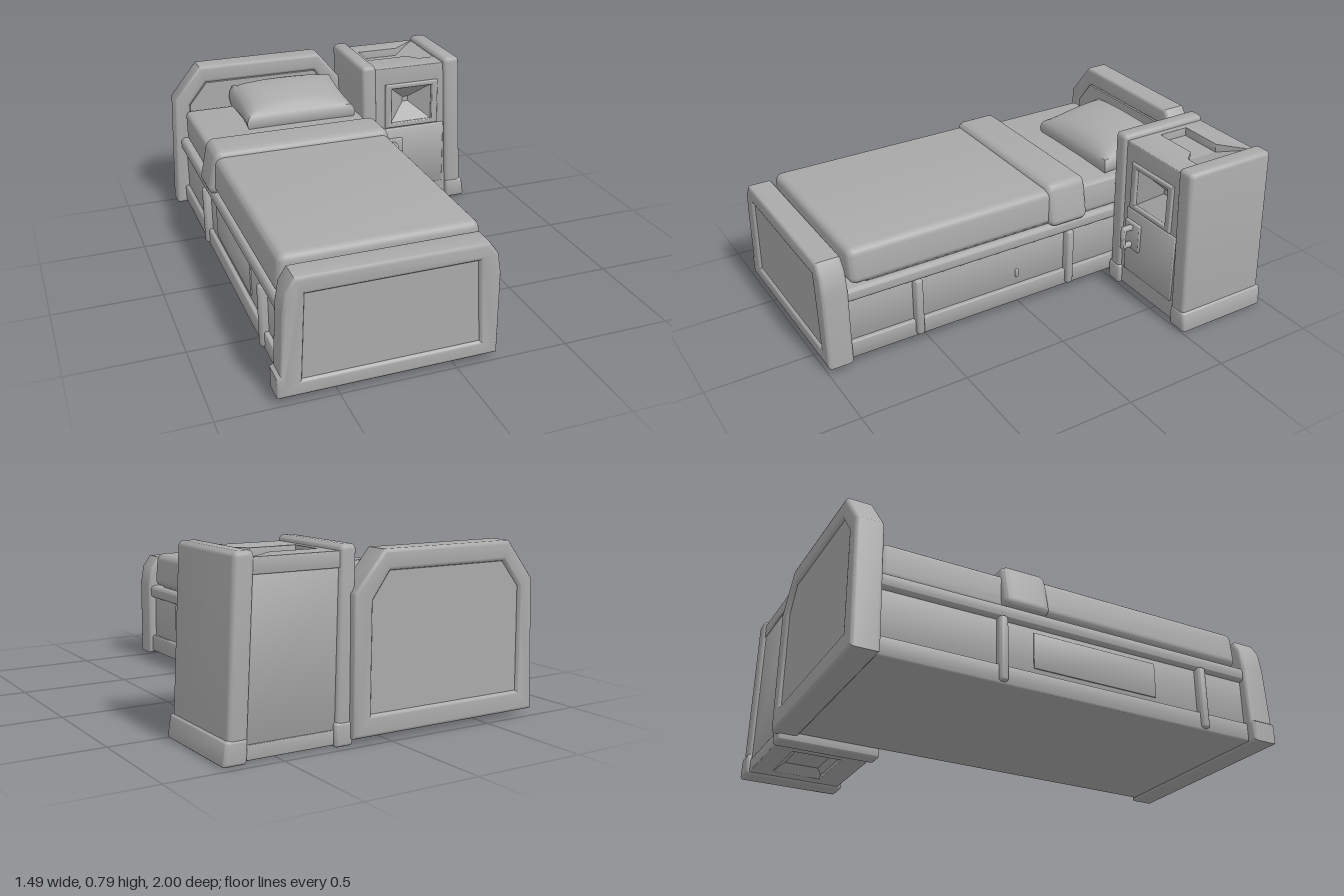
import * as THREE from 'three';
import { toCreasedNormals } from 'three/addons/utils/BufferGeometryUtils.js';
import { RoundedBoxGeometry } from 'three/addons/geometries/RoundedBoxGeometry.js';

const grey = new THREE.MeshStandardMaterial({ color: 0xaaaaaa });
grey.name = 'plain grey';

function add(parent, name, geometry) {
  const mesh = new THREE.Mesh(geometry, grey);
  mesh.name = name;
  parent.add(mesh);
  return mesh;
}

// Rounded block between limits; topX gives a different x range at its top
function soft(parent, name, [x0, x1], [y0, y1], [z0, z1], r, topX = [x0, x1]) {
  const g = new RoundedBoxGeometry(x1 - x0, y1 - y0, z1 - z0, 3, r);
  g.translate((x0 + x1) / 2, (y0 + y1) / 2, (z0 + z1) / 2);
  const p = g.attributes.position;
  for (let i = 0; i < p.count; i++) {
    const t = (p.getY(i) - y0) / (y1 - y0);
    const s = (p.getX(i) - x0) / (x1 - x0);
    const a = x0 + (topX[0] - x0) * t, b = x1 + (topX[1] - x1) * t;
    p.setX(i, a + (b - a) * s);
  }
  return add(parent, name, toCreasedNormals(g, 0.7));
}

const vectors = (pts) => pts.map(([x, y]) => new THREE.Vector2(x, y));
const rect = (x0, x1, y0, y1) => [[x0, y0], [x1, y0], [x1, y1], [x0, y1]];

// Outline with an optional hole, extruded from z = 0 to depth
function slab(outline, hole, depth, bevel) {
  const shape = new THREE.Shape(vectors(outline));
  if (hole) shape.holes.push(new THREE.Path(vectors(hole)));
  const g = new THREE.ExtrudeGeometry(shape, {
    depth: depth - 2 * bevel, bevelEnabled: bevel > 0, bevelSize: bevel,
    bevelThickness: bevel, bevelOffset: -bevel, bevelSegments: 3,
  });
  g.translate(0, 0, bevel);
  return toCreasedNormals(g, 0.7);
}

// Sunken funnel facing +z: rim at z = 0, floor at z = -depth
function dish(rim, floor, depth) {
  const v = [], n = rim.length;
  const tri = (...c) => c.forEach((q) => v.push(...q));
  const top = rim.map(([x, y]) => [x, y, 0]), low = floor.map(([x, y]) => [x, y, -depth]);
  for (let i = 0; i < n; i++) {
    const j = (i + 1) % n;
    tri(top[i], top[j], low[j]);
    tri(top[i], low[j], low[i]);
    if (i > 0 && i < n - 1) tri(low[0], low[i], low[i + 1]);
  }
  const g = new THREE.BufferGeometry();
  g.setAttribute('position', new THREE.Float32BufferAttribute(v, 3));
  g.computeVertexNormals();
  return g;
}

// End board with a shallow sunken panel on its outer side
function endBoard(parent, name, outline, panel, z0, outward) {
  const board = new THREE.Group();
  board.name = name;
  add(board, name + 'Frame', slab(outline, panel, 0.12, 0.016)).position.z = z0;
  add(board, name + 'Panel', slab(panel, null, 0.107, 0)).position.z = outward > 0 ? z0 : z0 + 0.013;
  parent.add(board);
}

function makePillow(parent) {
  const g = new THREE.BoxGeometry(2, 2, 2, 16, 4, 12);
  const p = g.attributes.position;
  for (let i = 0; i < p.count; i++) {
    const u = p.getX(i), w = p.getY(i), v = p.getZ(i);
    const bulge = (1 - u * u) * (1 - v * v);
    const top = 0.61 + 0.025 * (1 - v) + 0.055 * Math.sqrt(bulge);
    const inset = 1 - 0.06 * w * w;
    const pinchX = 1 - 0.03 * (1 - v * v), pinchZ = 1 - 0.03 * (1 - u * u);
    p.setXYZ(i, -0.17 + 0.28 * u * inset * pinchX,
      0.535 + (top - 0.535) * (w + 1) / 2, -0.675 + 0.185 * v * inset * pinchZ);
  }
  add(parent, 'pillow', toCreasedNormals(g, 0.9));
}

function makeBed() {
  const bed = new THREE.Group();
  bed.name = 'bed';

  // Head and foot boards
  endBoard(bed, 'headboard',
    [[-0.75, 0.03], [0.18, 0.03], [0.185, 0.6], [0.05, 0.765], [-0.59, 0.765], [-0.725, 0.6]],
    [[-0.66, 0.12], [0.1, 0.12], [0.1, 0.57], [0.02, 0.68], [-0.56, 0.68], [-0.65, 0.57]], -1, -1);
  endBoard(bed, 'footboard',
    [[-0.75, 0.03], [0.18, 0.03], [0.18, 0.4], [0.165, 0.49], [0.125, 0.545], [-0.67, 0.545],
      [-0.705, 0.49], [-0.72, 0.4], [-0.735, 0.13], [-0.75, 0.12]],
    [[-0.65, 0.1], [0.1, 0.1], [0.08, 0.47], [-0.63, 0.47]], 0.88, 1);

  // Base with lower boards, recessed sides and upper rails
  const length = [-0.9, 0.9];
  soft(bed, 'baseBoard', [-0.705, 0.165], [0.04, 0.125], length, 0.008);
  soft(bed, 'sidePanels', [-0.685, 0.145], [0.1, 0.35], length, 0.005);
  soft(bed, 'rails', [-0.71, 0.17], [0.33, 0.395], length, 0.02);

  // Side posts
  for (const z of [0.55, -0.255]) soft(bed, 'leftPost', [0.135, 0.185], [0.05, 0.34], [z - 0.02, z + 0.02], 0.015);
  for (const z of [0.64, -0.35]) soft(bed, 'rightPost', [-0.722, -0.67], [0.05, 0.34], [z - 0.02, z + 0.02], 0.015);
  soft(bed, 'leftPull', [0.14, 0.155], [0.165, 0.205], [0.02, 0.035], 0.004);
  soft(bed, 'rightDrawer', [-0.692, -0.684], [0.15, 0.31], [-0.2, 0.4], 0.003);

  // Bedding
  soft(bed, 'mattress', [-0.68, 0.15], [0.39, 0.547], [-0.87, 0.8], 0.025);
  soft(bed, 'blanket', [-0.705, 0.165], [0.4, 0.57], [-0.3, 0.86], 0.035, [-0.69, 0.15]);
  soft(bed, 'blanketFold', [-0.735, 0.195], [0.39, 0.597], [-0.345, -0.135], 0.035, [-0.69, 0.15]);
  makePillow(bed);
  return bed;
}

function makeNightstand() {
  const stand = new THREE.Group();
  stand.name = 'nightstand';

  // Side slabs with flared feet
  const depth = [-0.965, -0.505];
  soft(stand, 'rightSide', [0.17, 0.245], [0.01, 0.79], depth, 0.022, [0.155, 0.232]);
  soft(stand, 'leftSide', [0.635, 0.725], [0.01, 0.79], depth, 0.022, [0.602, 0.69]);
  soft(stand, 'rightFoot', [0.165, 0.25], [0, 0.1], [-0.97, -0.5], 0.015);
  soft(stand, 'leftFoot', [0.64, 0.745], [0, 0.1], [-0.97, -0.5], 0.015, [0.635, 0.73]);

  // Cabinet core
  soft(stand, 'cabinet', [0.2, 0.66], [0.05, 0.72], [-0.95, -0.63], 0.008, [0.2, 0.64]);

  // Front with a funnel-shaped niche
  const niche = rect(0.32, 0.54, 0.47, 0.655);
  add(stand, 'cabinetFront', slab(
    [[0.22, 0.01], [0.66, 0.01], [0.62, 0.765], [0.22, 0.765]], niche, 0.115, 0.004)).position.z = -0.635;
  add(stand, 'nicheFrame', slab(rect(0.285, 0.575, 0.445, 0.68), niche, 0.022, 0.008)).position.z = -0.528;
  add(stand, 'niche', dish(niche, rect(0.415, 0.445, 0.55, 0.575), 0.08)).position.z = -0.522;

  // Top with a sunken tray
  const tray = [[0.26, 0.69], [0.47, 0.69], [0.6, 0.54], [0.6, 0.94], [0.47, 0.84], [0.26, 0.84]];
  const floor = tray.map(([x, y]) => [Math.min(x, 0.47), Math.min(Math.max(y, 0.69), 0.84)]);
  const topFrame = add(stand, 'cabinetTop', slab(rect(0.2, 0.63, 0.525, 0.955), tray, 0.065, 0.003));
  topFrame.position.y = 0.7;
  const topTray = add(stand, 'topTray', dish(tray, floor, 0.04));
  topTray.position.y = 0.764;
  topFrame.rotation.x = topTray.rotation.x = -Math.PI / 2;

  // Underside with a shallow recess
  const recess = rect(0.3, 0.58, -0.86, -0.62);
  const under = add(stand, 'cabinetBottom', slab(rect(0.2, 0.68, -0.955, -0.525), recess, 0.06, 0.003));
  under.position.y = 0.07;
  const hollow = add(stand, 'bottomRecess', dish(recess, rect(0.34, 0.54, -0.82, -0.66), 0.035));
  hollow.position.y = 0.012;
  under.rotation.x = hollow.rotation.x = Math.PI / 2;

  // Door and handle
  soft(stand, 'door', [0.265, 0.615], [0.1, 0.44], [-0.545, -0.512], 0.008);
  soft(stand, 'handlePlate', [0.272, 0.38], [0.24, 0.385], [-0.52, -0.498], 0.009);
  soft(stand, 'handleBar', [0.31, 0.336], [0.255, 0.37], [-0.465, -0.443], 0.008);
  for (const y of [0.255, 0.346]) soft(stand, 'handleArm', [0.31, 0.336], [y, y + 0.024], [-0.51, -0.447], 0.006);
  return stand;
}

export function createModel() {
  const model = new THREE.Group();
  model.name = 'bedWithNightstand';
  model.add(makeBed(), makeNightstand());
  return model;
}
